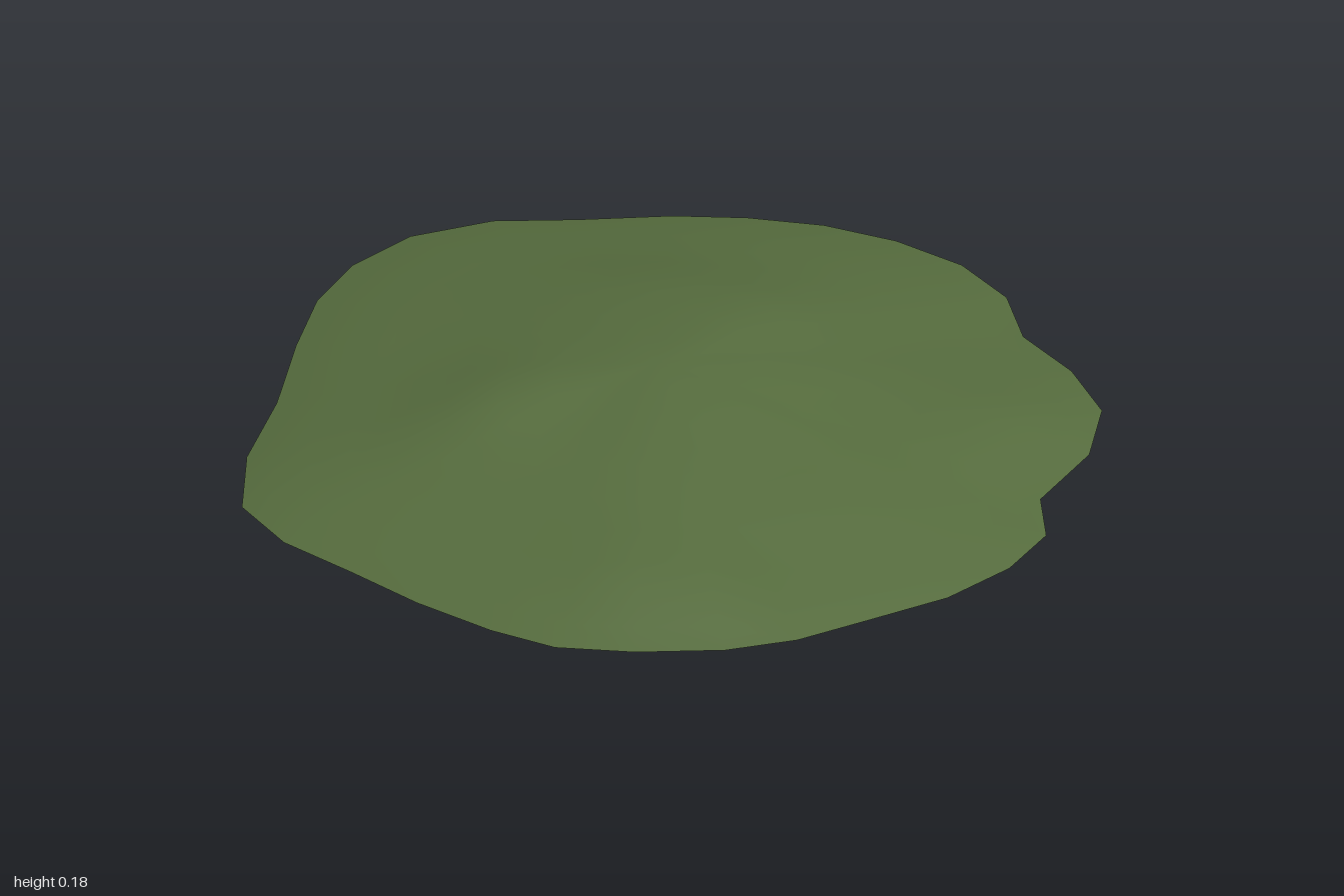
import * as THREE from 'three';

// Ground outline as x, z pairs, running from the left side (+x) round by the front
const RIM = [
  0.98, 0.03, 1.0, 0.21, 0.92, 0.38, 0.76, 0.53, 0.73, 0.68, 0.61, 0.79, 0.44, 0.87, 0.24, 0.91,
  0.06, 0.945, -0.11, 0.94, -0.31, 0.89, -0.48, 0.82, -0.6, 0.71, -0.73, 0.55, -0.84, 0.38, -0.95, 0.22,
  -1.0, 0.05, -0.93, -0.15, -0.8, -0.35, -0.69, -0.57, -0.59, -0.74, -0.47, -0.86, -0.31, -0.94, -0.11, -0.95,
  0.08, -0.9, 0.29, -0.855, 0.45, -0.8, 0.61, -0.72, 0.75, -0.61, 0.865, -0.47, 0.925, -0.31, 0.915, -0.14,
];

// Rings from summit to rim: [fraction of the outline, height]
const RINGS = [
  [0, 0.182], [0.12, 0.172], [0.25, 0.155], [0.38, 0.13], [0.5, 0.107], [0.62, 0.083],
  [0.74, 0.06], [0.84, 0.04], [0.93, 0.019], [1, 0],
];

// Knolls and hollows: [x, z, height, radius]
const KNOLLS = [
  [0.28, -0.22, 0.026, 0.17], [-0.38, -0.05, 0.027, 0.16], [0.1, -0.42, 0.026, 0.17],
  [-0.22, 0.68, 0.032, 0.17], [0.68, 0.33, 0.032, 0.16], [0.22, 0.56, 0.016, 0.14],
  [-0.2, 0.12, -0.012, 0.14], [0.04, 0.66, -0.012, 0.1],
];

function heightAt(x, z, t, base) {
  let y = base;
  for (const [kx, kz, h, r] of KNOLLS) {
    const d2 = (x - kx) ** 2 + (z - kz) ** 2;
    y += h * Math.exp(-d2 / (r * r)) * Math.min(1, (1 - t) / 0.15);
  }
  return Math.min(0.185, Math.max(0, y));
}

export function createModel() {
  const group = new THREE.Group();
  group.name = 'hill';

  const n = RIM.length / 2;
  const positions = [];
  const indices = [];

  // Concentric rings of the mound
  RINGS.forEach(([t, base], i) => {
    for (let j = 0; j < (i === 0 ? 1 : n); j++) {
      const x = RIM[2 * j] * t;
      const z = RIM[2 * j + 1] * t;
      positions.push(x, heightAt(x, z, t, base), z);
    }
  });

  // Fan at the summit, then quads between rings
  const at = (ring, j) => 1 + (ring - 1) * n + (j % n);
  for (let j = 0; j < n; j++) {
    indices.push(0, at(1, j + 1), at(1, j));
    for (let i = 1; i < RINGS.length - 1; i++) {
      const a = at(i, j), b = at(i, j + 1), c = at(i + 1, j), d = at(i + 1, j + 1);
      indices.push(a, b, c, b, d, c);
    }
  }

  const geometry = new THREE.BufferGeometry();
  geometry.setAttribute('position', new THREE.Float32BufferAttribute(positions, 3));
  geometry.setIndex(indices);
  geometry.computeVertexNormals();

  // Open grassy shell
  const grass = new THREE.MeshStandardMaterial({ color: 0x556b3d, side: THREE.DoubleSide });
  const mound = new THREE.Mesh(geometry, grass);
  mound.name = 'grassMound';
  group.add(mound);
  return group;
}
